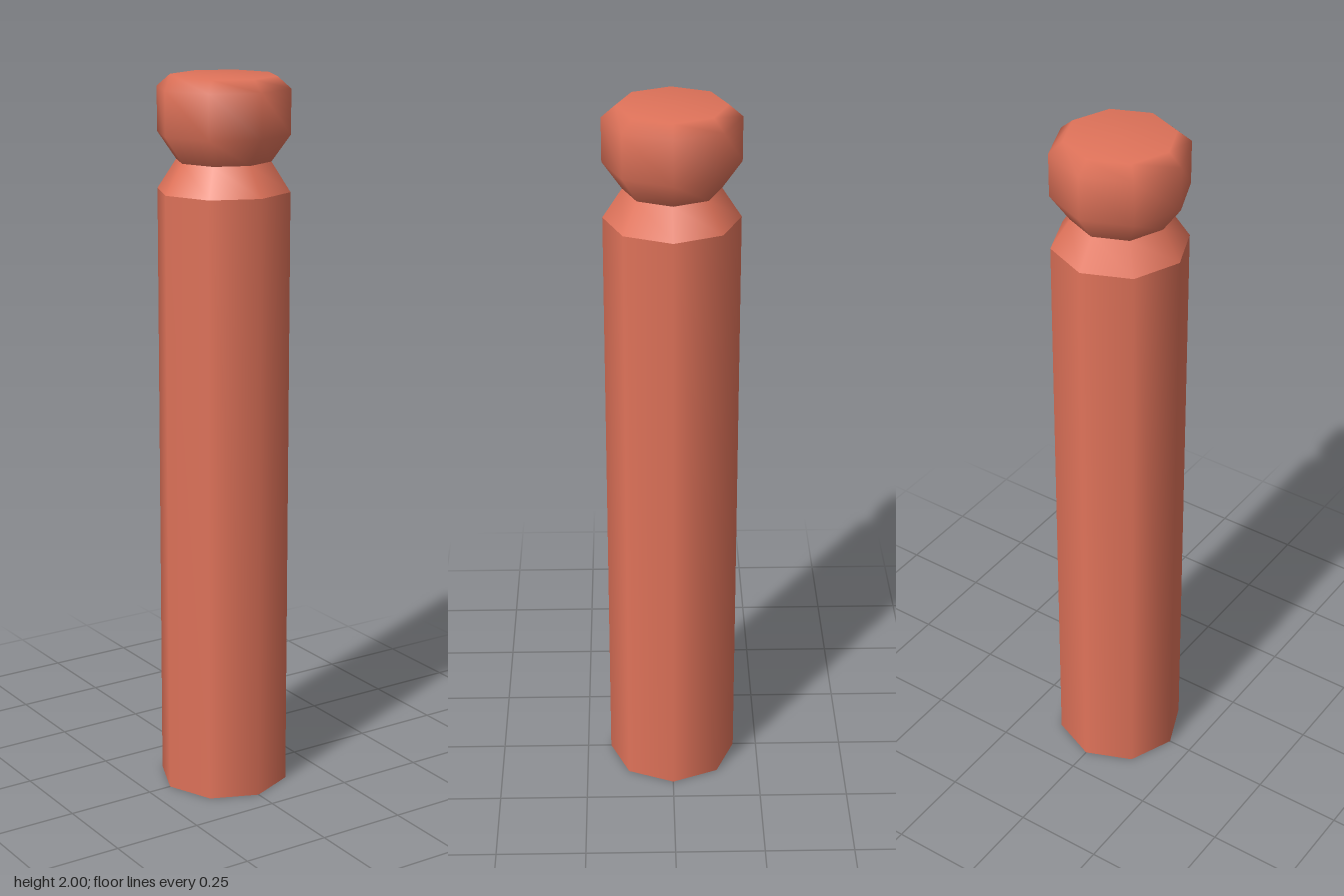
import * as THREE from 'three';

const SIDES = 8;
const R = 0.182; // outer radius of post and head
const NECK = 0.13; // radius of the groove below the head

export function createModel() {
  const group = new THREE.Group();
  group.name = 'bollard';
  const material = new THREE.MeshStandardMaterial({ color: 0xe0735a });

  // Each band is a separate lathe: smooth within, sharp edges between bands.
  const addBand = (name, profile) => {
    const points = profile.map(([r, y]) => new THREE.Vector2(r, y));
    const mesh = new THREE.Mesh(new THREE.LatheGeometry(points, SIDES), material);
    mesh.name = name;
    group.add(mesh);
  };

  addBand('base', [[0, 0], [R, 0]]);
  addBand('post', [[R, 0], [R, 1.695]]);
  addBand('shoulder', [[R, 1.695], [NECK, 1.775]]);
  // Rounded head with bevelled rim and flat top
  addBand('head', [[NECK, 1.775], [R, 1.848], [R, 1.968], [0.145, 2], [0, 2]]);

  return group;
}
